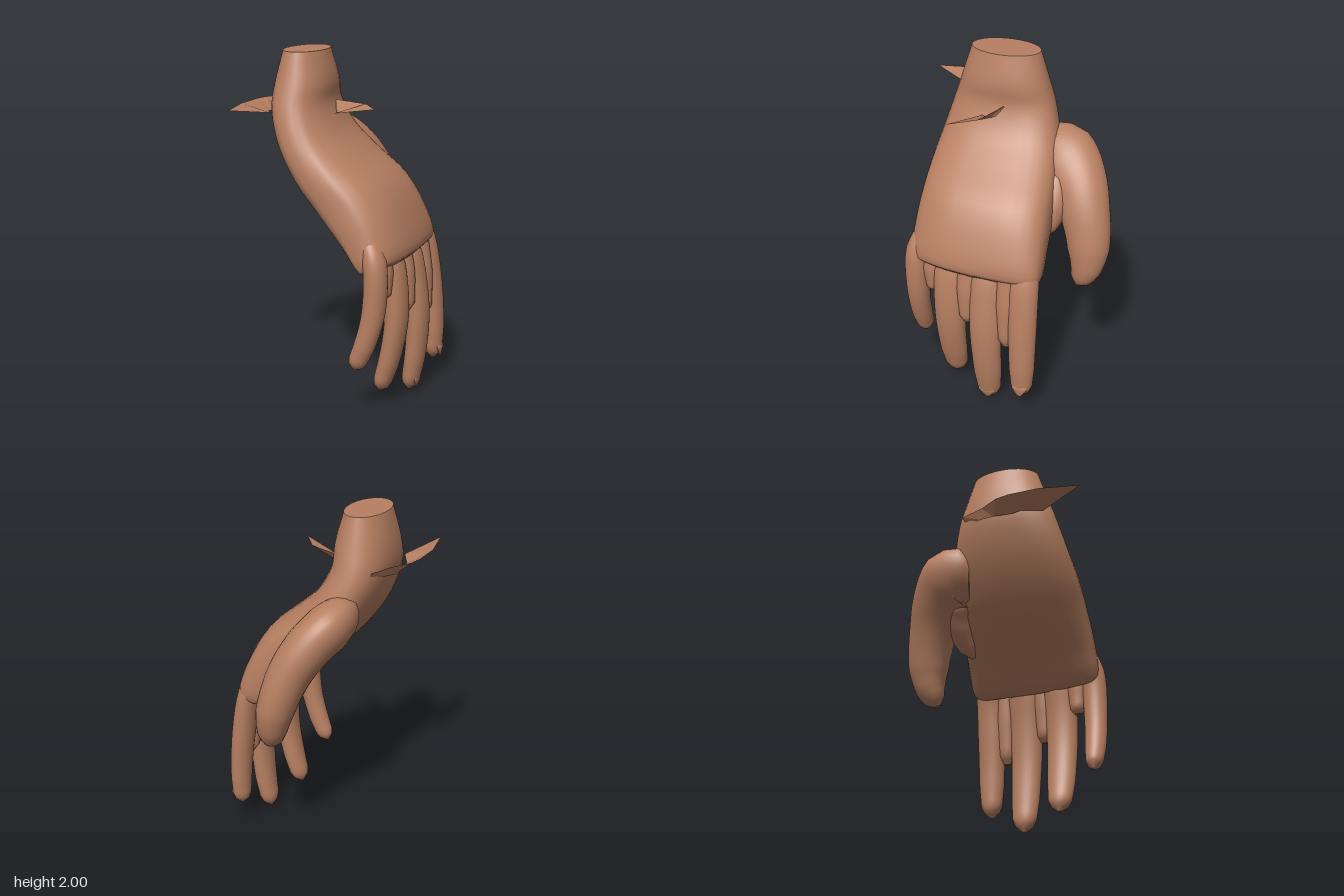
import * as THREE from 'three';

const V = (x, y, z) => new THREE.Vector3(x, y, z);
const SIDES = 32;

// Skin over a list of closed rings, with flat caps of their own vertices
function loft(rings) {
  const pos = [], index = [], n = SIDES;
  const add = (p) => pos.push(p.x, p.y, p.z) / 3 - 1;
  rings.forEach((ring) => ring.forEach(add));
  for (let r = 0; r < rings.length - 1; r++) {
    for (let i = 0; i < n; i++) {
      const a = r * n + i, b = r * n + (i + 1) % n;
      index.push(a, b, b + n, a, b + n, a + n);
    }
  }
  [rings[0], rings[rings.length - 1]].forEach((ring, end) => {
    const mid = V(0, 0, 0);
    ring.forEach((p) => mid.addScaledVector(p, 1 / n));
    const c = add(mid), first = c + 1;
    ring.forEach(add);
    for (let i = 0; i < n; i++) {
      const a = first + i, b = first + (i + 1) % n;
      if (end) index.push(c, a, b); else index.push(c, b, a);
    }
  });
  const g = new THREE.BufferGeometry();
  g.setAttribute('position', new THREE.Float32BufferAttribute(pos, 3));
  g.setIndex(index);
  g.computeVertexNormals();
  return g;
}

// Rounded ring around c; a higher power makes it squarer
function makeRing(c, u, v, power = 2) {
  const bend = (s) => Math.sign(s) * Math.abs(s) ** (2 / power);
  return Array.from({ length: SIDES }, (_, i) => {
    const a = i / SIDES * Math.PI * 2;
    return c.clone().addScaledVector(u, bend(Math.cos(a))).addScaledVector(v, bend(Math.sin(a)));
  });
}

// Digit along a curve; profile rows are [t, radius across ref, radius along ref]
function digit(points, profile, ref = V(0, 0, 1)) {
  const curve = new THREE.CatmullRomCurve3(points.map((p) => V(...p)));
  const rows = [];
  for (let k = 0; k < profile.length - 1; k++) {
    const steps = profile[k + 1][0] - profile[k][0] > 0.1 ? 5 : 2;
    for (let s = 0; s < steps; s++) {
      rows.push(profile[k].map((q, j) => q + (profile[k + 1][j] - q) * s / steps));
    }
  }
  rows.push(profile[profile.length - 1]);
  return loft(rows.map(([t, ru, rv]) => {
    const dir = curve.getTangentAt(t);
    const u = ref.clone().cross(dir).normalize();
    const v = dir.clone().cross(u);
    return makeRing(curve.getPointAt(t), u.multiplyScalar(ru), v.multiplyScalar(rv));
  }));
}

// Wrist and palm: inner and outer edge lines carry the near and far z limits
function palmGeometry() {
  const inner = [
    [-0.345, 2, -0.1], [-0.38, 1.83, -0.15], [-0.38, 1.68, -0.19], [-0.31, 1.48, -0.24],
    [-0.19, 1.29, -0.27], [-0.05, 1.13, -0.29], [0.12, 0.96, -0.3], [0.24, 0.84, -0.295], [0.3, 0.82, -0.25],
  ];
  const outer = [
    [-0.11, 2, 0.3], [-0.07, 1.83, 0.355], [-0.07, 1.71, 0.4], [0.0, 1.56, 0.445],
    [0.13, 1.43, 0.475], [0.3, 1.28, 0.485], [0.4, 1.1, 0.495], [0.45, 0.92, 0.495], [0.41, 0.87, 0.47],
  ];
  const line = (pts) => new THREE.CatmullRomCurve3(pts.map((p) => V(...p)));
  const A = line(inner), B = line(outer), rings = [];
  for (let i = 0; i <= 32; i++) {
    const t = i / 32, a = A.getPoint(t), b = B.getPoint(t);
    const c = a.clone().add(b).multiplyScalar(0.5);
    const u = V((b.x - a.x) / 2, (b.y - a.y) / 2, 0);
    const ring = makeRing(c, u, V(0, 0, (b.z - a.z) / 2), 2 + t * 1.4);
    // the back of the hand arches away toward the little finger
    ring.forEach((p) => { p.x -= 0.08 * t * Math.max(0, (p.z - 0.05) / 0.45) ** 2; });
    rings.push(ring);
  }
  return loft(rings);
}

// Thin torn sheet spanned between an outer and an inner edge
function shardGeometry(outer, inner) {
  const pos = [...outer, ...inner].flat(), n = outer.length, index = [];
  for (let i = 0; i < n - 1; i++) index.push(i, n + i, i + 1, i + 1, n + i, n + i + 1);
  const g = new THREE.BufferGeometry();
  g.setAttribute('position', new THREE.Float32BufferAttribute(pos, 3));
  g.setIndex(index);
  const flat = g.toNonIndexed();
  flat.computeVertexNormals();
  return flat;
}

export function createModel() {
  const model = new THREE.Group();
  model.name = 'hand';
  const skin = new THREE.MeshStandardMaterial({ color: 0xb88062, side: THREE.DoubleSide });
  skin.name = 'skin';
  const part = (name, geometry) => {
    const mesh = new THREE.Mesh(geometry, skin);
    mesh.name = name;
    model.add(mesh);
  };

  part('wristAndPalm', palmGeometry());

  // Fingers: centre line and width, rooted inside the palm
  const fingers = {
    littleFinger: [[[0.25, 1.06, 0.41], [0.315, 0.9, 0.45], [0.315, 0.64, 0.46], [0.27, 0.45, 0.465], [0.2, 0.28, 0.465]], 0.064],
    ringFinger: [[[0.29, 1.02, 0.24], [0.35, 0.8, 0.24], [0.37, 0.55, 0.24], [0.335, 0.3, 0.24], [0.27, 0.075, 0.24]], 0.086],
    middleFinger: [[[0.31, 1.02, 0.02], [0.375, 0.8, 0.01], [0.415, 0.5, 0.005], [0.405, 0.25, 0], [0.365, 0, 0]], 0.088],
    indexFinger: [[[0.3, 1.06, -0.19], [0.375, 0.87, -0.21], [0.42, 0.6, -0.22], [0.44, 0.35, -0.225], [0.44, 0.125, -0.225]], 0.078],
  };
  for (const [name, [points, w]] of Object.entries(fingers)) {
    part(name, digit(points, [
      [0, 0.02, w * 0.4], [0.1, 0.055, w], [0.2, 0.066, w * 1.15], [0.5, 0.066, w * 1.08], [0.8, 0.06, w * 0.96],
      [0.92, 0.054, w * 0.82], [0.96, 0.044, w * 0.62], [1, 0.008, w * 0.1],
    ]));
    // nail riding on the outer side of the tip
    const [x, y, z] = points[4], lean = (points[3][0] - x) * 0.45;
    part('fingernail', digit([[x + 0.03 + lean, y + 0.13, z], [x + 0.045 + lean / 2, y + 0.07, z], [x + 0.045, y + 0.02, z]],
      [[0, 0.008, w * 0.5], [0.5, 0.014, w * 0.6], [1, 0.004, w * 0.15]]));
  }

  // Webs filling the gaps between neighbouring fingers
  [[0.31, 0.33, 0.35, 0.67], [0.345, 0.395, 0.125, 0.54], [0.365, 0.42, -0.12, 0.44]].forEach(([x0, x1, z, low]) => {
    part('fingerWeb', digit([[x0, 0.98, z], [(x0 + x1) / 2 + 0.01, (0.95 + low) / 2, z], [x1, low, z]],
      [[0, 0.05, 0.06], [0.5, 0.054, 0.065], [0.9, 0.042, 0.045], [1, 0.01, 0.02]]));
  });

  // Thumb with a broad, flattened base set into the side of the palm
  part('thumb', digit(
    [[-0.15, 1.4, -0.14], [-0.165, 1.415, -0.25], [-0.1, 1.335, -0.36], [-0.02, 1.19, -0.435], [0.04, 1.0, -0.485], [0.07, 0.85, -0.485], [0.085, 0.73, -0.44]],
    [[0, 0.14, 0.09], [0.08, 0.185, 0.125], [0.15, 0.195, 0.135], [0.32, 0.165, 0.13], [0.55, 0.14, 0.118], [0.74, 0.122, 0.105], [0.88, 0.09, 0.082], [0.95, 0.065, 0.058], [1, 0.015, 0.015]],
    V(0.8, 0.55, 0)));

  // Fleshy fold joining thumb and palm
  part('thumbFold', digit([[-0.13, 1.4, -0.2], [-0.03, 1.26, -0.27], [0.05, 1.13, -0.26], [0.12, 1.03, -0.22]],
    [[0, 0.06, 0.05], [0.3, 0.11, 0.1], [0.6, 0.1, 0.085], [0.85, 0.07, 0.06], [1, 0.02, 0.02]]));

  // Torn scraps around the wrist
  part('rightScrap', shardGeometry(
    [[-0.46, 1.715, 0.615], [-0.505, 1.715, 0.38], [-0.5, 1.715, 0.2], [-0.48, 1.715, 0.12], [-0.41, 1.715, 0.01], [-0.355, 1.715, -0.13]],
    [[-0.34, 1.67, 0.36], [-0.4, 1.66, 0.25], [-0.4, 1.65, 0.2], [-0.405, 1.65, 0.08], [-0.38, 1.66, 0], [-0.33, 1.67, -0.11]]));
  part('leftScrap', shardGeometry(
    [[0.25, 1.715, 0.29], [0.14, 1.715, 0.14], [-0.07, 1.715, 0.06]],
    [[-0.04, 1.655, 0.18], [-0.03, 1.65, 0.13], [-0.08, 1.66, 0.07]]));

  return model;
}
